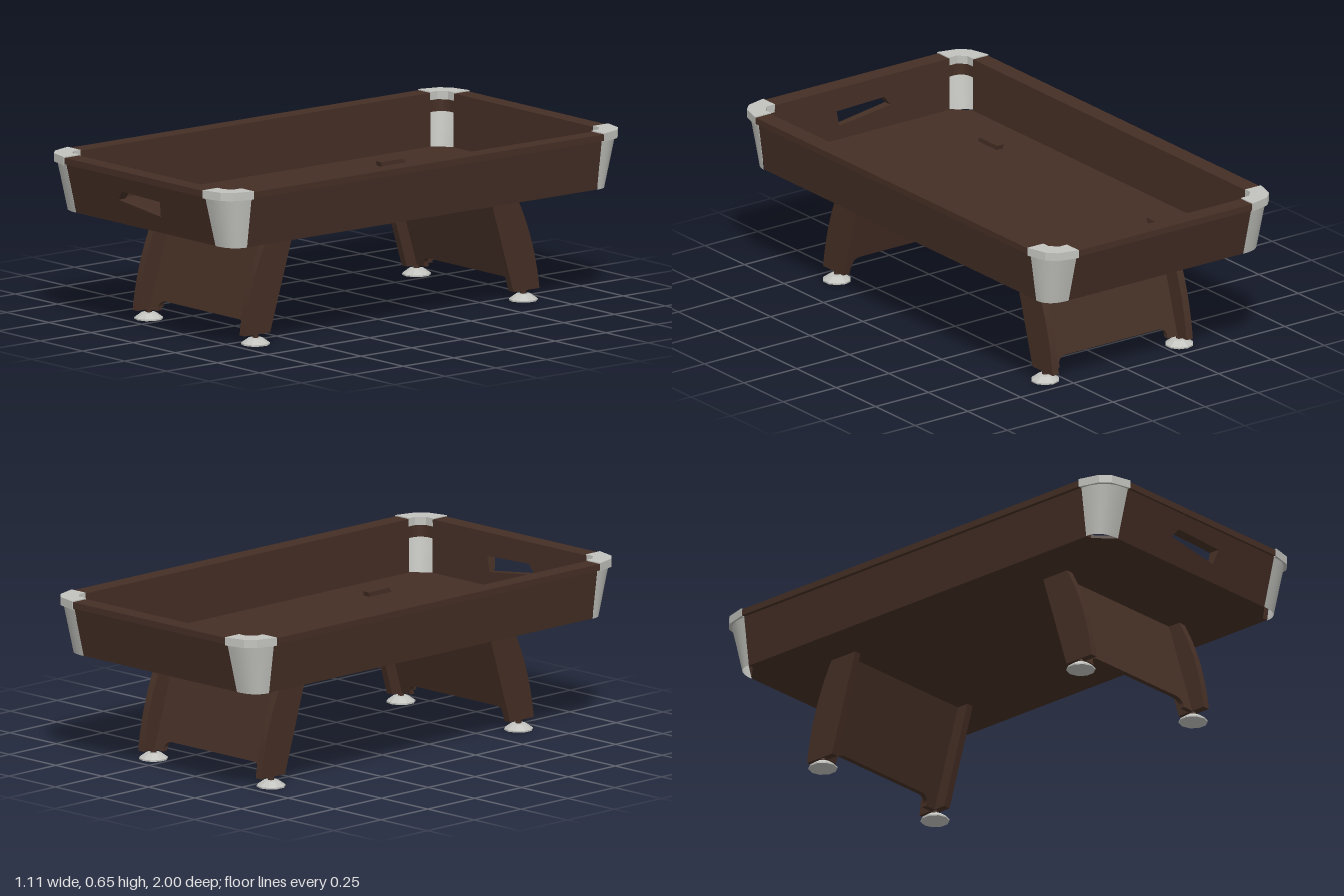
import * as THREE from 'three';

const FLOOR = 0.43, LEDGE = 0.625, TOP = 0.65;

export function createModel() {
  const model = new THREE.Group();
  model.name = 'gameTable';
  const wood = new THREE.MeshStandardMaterial({ color: 0x452f25, side: THREE.DoubleSide });
  wood.name = 'dark wood';
  const metal = new THREE.MeshStandardMaterial({ color: 0xc2c3be, side: THREE.DoubleSide });
  metal.name = 'grey metal';

  const add = (parent, name, geometry, material) => {
    const mesh = new THREE.Mesh(geometry, material);
    mesh.name = name;
    parent.add(mesh);
    return mesh;
  };
  const polygon = pts => new THREE.Shape(pts.map(p => new THREE.Vector2(p[0], p[1])));
  const extrude = (shape, depth) =>
    new THREE.ExtrudeGeometry(shape, { depth, bevelEnabled: false, curveSegments: 12 });
  // Moves each vertex's z by a rule of its y and z
  const mapZ = (geometry, rule) => {
    const p = geometry.attributes.position;
    for (let i = 0; i < p.count; i++) p.setZ(i, rule(p.getY(i), p.getZ(i)));
    geometry.computeVertexNormals();
    return geometry;
  };

  // Apron wall: upright inside, leaning out at the outside, with a rail on top
  function wall(name, half, inner, low, high, rim, angle, hole) {
    const group = new THREE.Group();
    group.name = name;
    const shape = polygon([[-half, FLOOR], [half, FLOOR], [half, LEDGE], [-half, LEDGE]]);
    if (hole) shape.holes.push(polygon(hole));
    add(group, name + 'Panel', mapZ(extrude(shape, 1), (y, z) => {
      const outer = low + (high - low) * (y - FLOOR) / (LEDGE - FLOOR);
      return z > 0.5 ? outer : inner;
    }), wood);
    const rail = add(group, name + 'Rail',
      new THREE.BoxGeometry(half * 2, TOP - LEDGE, rim - inner), wood);
    rail.position.set(0, (TOP + LEDGE) / 2, (rim + inner) / 2);
    group.rotation.y = angle;
    model.add(group);
  }
  const returnSlot = [[-0.105, 0.565], [0.12, 0.558], [0.107, 0.497], [-0.135, 0.527]];
  wall('frontWall', 0.415, 0.925, 0.935, 0.985, 0.995, 0, returnSlot);
  wall('backWall', 0.415, 0.925, 0.935, 0.985, 0.995, Math.PI);
  wall('leftWall', 0.865, 0.48, 0.508, 0.535, 0.55, Math.PI / 2);
  wall('rightWall', 0.865, 0.48, 0.508, 0.535, 0.55, -Math.PI / 2);

  // Bed with clipped corners below the pockets
  const bed = extrude(polygon([
    [-0.42, -0.93], [0.42, -0.93], [0.485, -0.865], [0.485, 0.865],
    [0.42, 0.93], [-0.42, 0.93], [-0.485, 0.865], [-0.485, -0.865]]), 0.012);
  bed.rotateX(-Math.PI / 2);
  bed.translate(0, FLOOR, 0);
  add(model, 'bed', bed, wood);

  // Thin curved sheet between a lower and an upper corner curve
  function cornerSheet(low, high, yLow, yHigh, sx, sz) {
    const curve = c => new THREE.CubicBezierCurve(...c.map(p => new THREE.Vector2(p[0], p[1])));
    const a = curve(low), b = curve(high), n = 10;
    const g = new THREE.PlaneGeometry(1, 1, n, 1);
    for (let i = 0; i <= n; i++) {
      const p = b.getPoint(i / n), q = a.getPoint(i / n);
      g.attributes.position.setXYZ(i, sx * p.x, yHigh, sz * p.y);
      g.attributes.position.setXYZ(n + 1 + i, sx * q.x, yLow, sz * q.y);
    }
    if (sx * sz < 0) g.setIndex(Array.from(g.index.array).reverse());
    g.computeVertexNormals();
    return g;
  }

  // Corner pockets: metal shell, wooden lining and metal cap
  for (const sx of [-1, 1]) for (const sz of [-1, 1]) {
    const corner = new THREE.Group();
    corner.name = 'cornerPocket';
    model.add(corner);
    add(corner, 'cornerShell', cornerSheet(
      [[0.413, 0.937], [0.475, 0.937], [0.51, 0.915], [0.511, 0.863]],
      [[0.413, 0.988], [0.49, 0.988], [0.537, 0.945], [0.538, 0.863]],
      FLOOR, LEDGE, sx, sz), metal);
    const lining = [[0.415, 0.927], [0.46, 0.935], [0.488, 0.915], [0.482, 0.865]];
    add(corner, 'pocketLining', cornerSheet(lining, lining, 0.575, 0.64, sx, sz), wood);
    const cap = extrude(polygon([
      [0.412, 0.925], [0.412, 1], [0.495, 0.98], [0.53, 0.945], [0.553, 0.863],
      [0.478, 0.863], [0.478, 0.895], [0.45, 0.925]].map(([x, z]) => [sx * x, -sz * z])), 0.032);
    cap.rotateX(-Math.PI / 2);
    cap.translate(0, 0.622, 0);
    add(corner, 'cornerCap', cap, metal);
  }

  // Leg side with a straight inner edge and a bowed outer edge
  const legShape = new THREE.Shape();
  legShape.moveTo(0.6, 0.04);
  legShape.lineTo(0.727, 0.04);
  legShape.quadraticCurveTo(0.7, 0.27, 0.585, 0.46);
  legShape.lineTo(0.472, 0.46);
  legShape.closePath();

  // Cross panel with a cut-out between its two feet
  const panelShape = new THREE.Shape();
  panelShape.moveTo(-0.305, 0.04);
  panelShape.lineTo(-0.255, 0.04);
  panelShape.lineTo(-0.255, 0.055);
  panelShape.quadraticCurveTo(-0.25, 0.08, -0.215, 0.08);
  panelShape.lineTo(0.215, 0.08);
  panelShape.quadraticCurveTo(0.25, 0.08, 0.255, 0.055);
  panelShape.lineTo(0.255, 0.04);
  panelShape.lineTo(0.305, 0.04);
  panelShape.lineTo(0.305, 0.435);
  panelShape.lineTo(-0.305, 0.435);
  panelShape.closePath();

  const footProfile = [[0, 0], [0.055, 0], [0.055, 0.006], [0.03, 0.024], [0.012, 0.026]]
    .map(p => new THREE.Vector2(p[0], p[1]));

  for (const [name, angle] of [['frontLegs', 0], ['backLegs', Math.PI]]) {
    const legs = new THREE.Group();
    legs.name = name;
    legs.rotation.y = angle;
    model.add(legs);
    for (const side of [-1, 1]) {
      const leg = extrude(legShape, 0.03);
      leg.rotateY(-Math.PI / 2);
      leg.translate(side * 0.317 + 0.015, 0, 0);
      add(legs, 'leg', leg, wood);
      const foot = new THREE.LatheGeometry(footProfile, 10).toNonIndexed();
      foot.computeVertexNormals();
      add(legs, 'foot', foot, metal).position.set(side * 0.317, 0, 0.66);
      add(legs, 'footStem', new THREE.CylinderGeometry(0.012, 0.012, 0.02, 10), wood)
        .position.set(side * 0.317, 0.033, 0.66);
    }
    add(legs, 'crossPanel', mapZ(extrude(panelShape, 0.02),
      (y, z) => z + 0.65 - (y - 0.04) / 0.39 * 0.12), wood);
  }
  return model;
}
